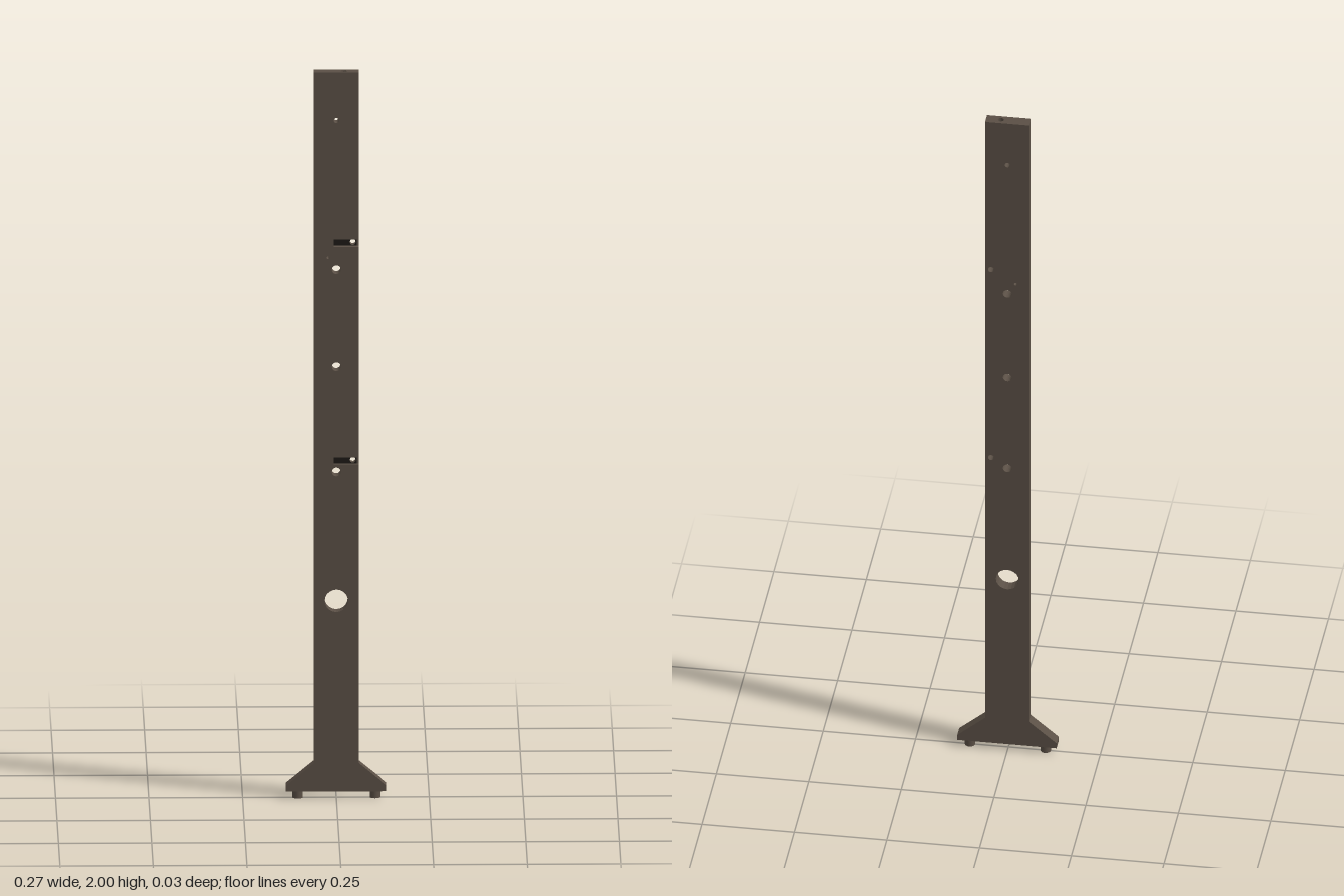
import * as THREE from 'three';

const HALF_W = 0.06, HALF_D = 0.017, CAP_Y = 1.96, SLOT_DEPTH = 0.013;
const SLOTS = [1.53, 0.93];
const SLOT_IN = -0.007, SLOT_H = 0.01, SLOT_HOLE_X = 0.044;
// through holes: x, y, radius
const HOLES = [[0, 1.868, 0.007], [-0.022, 1.49, 0.004], [0, 1.457, 0.012],
  [0, 1.19, 0.012], [0, 0.9, 0.012], [0, 0.545, 0.031]];

const steel = new THREE.MeshStandardMaterial({ color: 0x5a4f45 });
const dark = new THREE.MeshStandardMaterial({ color: 0x1c1916 });

function addHole(shape, x, y, r) {
  shape.holes.push(new THREE.Path().absarc(x, y, r, 0, Math.PI * 2, true));
}

// outline of the upright with its flared base; optionally notched on the +x edge
function outline(notched) {
  const pts = [[-HALF_W, CAP_Y], [-HALF_W, 0.098], [-0.135, 0.036], [-0.135, 0.02],
    [0.135, 0.02], [0.135, 0.036], [HALF_W, 0.098]];
  if (notched) {
    for (const y of [...SLOTS].reverse()) {
      pts.push([HALF_W, y - SLOT_H], [SLOT_IN, y - SLOT_H], [SLOT_IN, y + SLOT_H], [HALF_W, y + SLOT_H]);
    }
  }
  pts.push([HALF_W, CAP_Y]);
  const shape = new THREE.Shape(pts.map(([x, y]) => new THREE.Vector2(x, y)));
  HOLES.forEach(h => addHole(shape, ...h));
  return shape;
}

export function createModel() {
  const model = new THREE.Group();
  model.name = 'post';
  const add = (name, geometry, material = steel) => {
    const mesh = new THREE.Mesh(geometry, material);
    mesh.name = name;
    model.add(mesh);
    return mesh;
  };
  const extrude = (shape, depth) =>
    new THREE.ExtrudeGeometry(shape, { depth, bevelEnabled: false, curveSegments: 10 });

  // back layer, drilled at the end of each slot
  const back = outline(false);
  SLOTS.forEach(y => addHole(back, SLOT_HOLE_X, y, 0.008));
  add('uprightBack', extrude(back, 2 * HALF_D - SLOT_DEPTH)).position.z = -HALF_D;

  // front layer, with slots open to the side
  add('uprightFront', extrude(outline(true), SLOT_DEPTH)).position.z = HALF_D - SLOT_DEPTH;

  // shaded slot floors
  for (const y of SLOTS) {
    const floor = new THREE.Shape([[SLOT_IN, y - SLOT_H], [HALF_W - 0.005, y - SLOT_H],
      [HALF_W - 0.005, y + SLOT_H], [SLOT_IN, y + SLOT_H]].map(p => new THREE.Vector2(...p)));
    addHole(floor, SLOT_HOLE_X, y, 0.008);
    add('slotFloor', new THREE.ShapeGeometry(floor), dark).position.z = HALF_D - SLOT_DEPTH + 0.0005;
  }

  // top end with a blind hole drilled down into it
  const cap = new THREE.Shape([[-HALF_W, -HALF_D], [HALF_W, -HALF_D],
    [HALF_W, HALF_D], [-HALF_W, HALF_D]].map(p => new THREE.Vector2(...p)));
  addHole(cap, 0.02, 0, 0.008);
  const capGeometry = extrude(cap, 2 - CAP_Y).rotateX(-Math.PI / 2);
  add('topEnd', capGeometry).position.y = CAP_Y;

  // round feet under the base
  for (const side of [-1, 1]) {
    add('foot', new THREE.CylinderGeometry(0.014, 0.014, 0.021, 20)).position.set(side * 0.103, 0.0105, 0);
  }
  return model;
}
